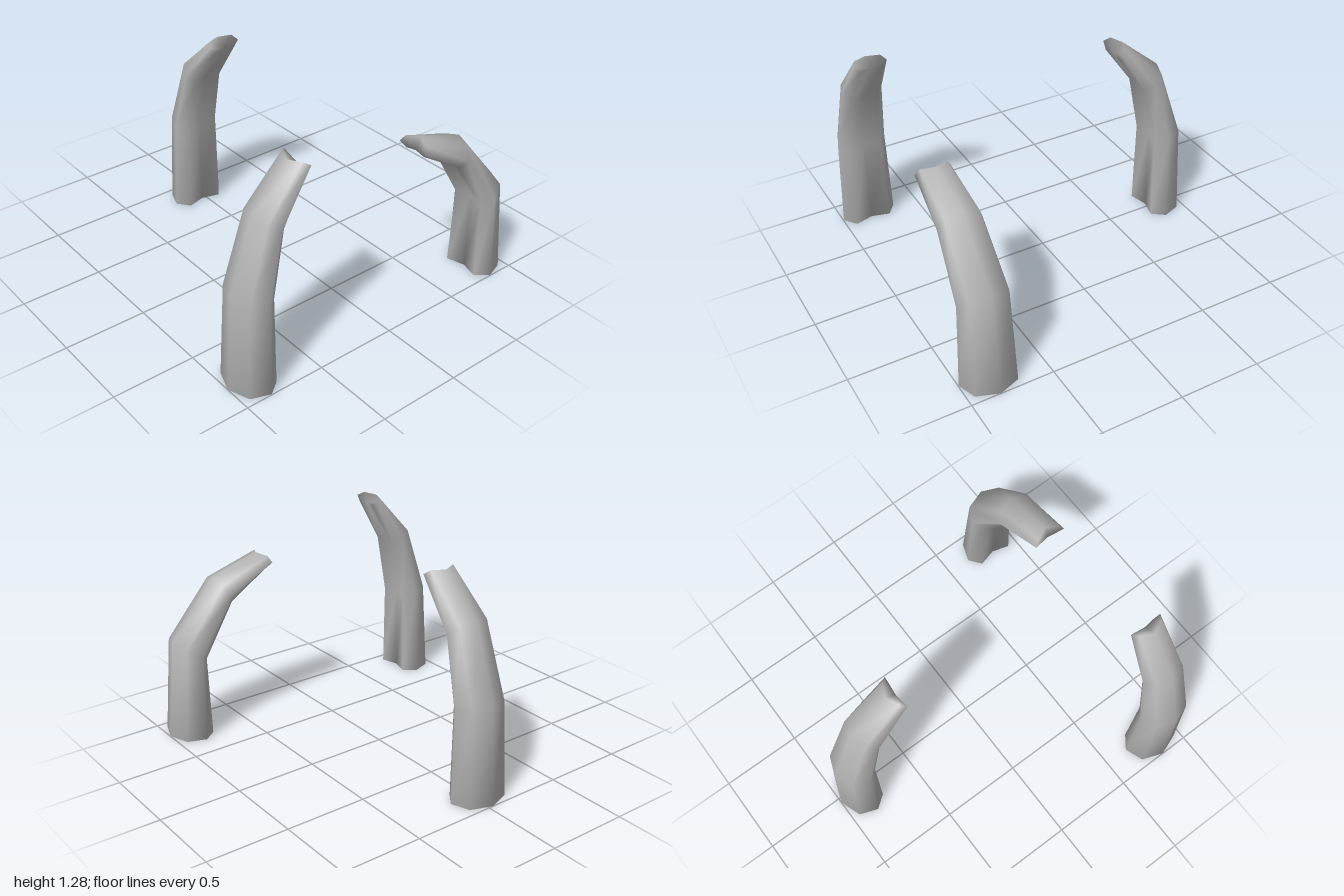
import * as THREE from 'three';

// Cross-section of a claw: [share of the way from outer to inner edge, share of half width]
const SECTION = [[0, 0], [0.2, 0.76], [0.67, 1], [1, 0.65], [0.87, 0], [1, -0.65], [0.67, -1], [0.2, -0.76]];
const N = SECTION.length;
const NOTCH = 4;
const HALF_WIDTHS = [0.172, 0.153, 0.13, 0.104];

// Each ring: outer radius, outer height, inner radius, inner height
const CLAWS = [
  {
    name: 'backClaw', turn: 0, position: [-0.03, 0, 0], bulge: [-0.02, 0.02],
    rings: [[1, 0, 0.76, 0], [0.97, 0.6, 0.76, 0.56], [0.81, 1.05, 0.675, 0.94], [0.555, 1.265, 0.485, 1.2]],
  },
  {
    name: 'rightClaw', turn: Math.PI / 2, position: [0, 0, 0.825], bulge: [-0.02, 0.02],
    rings: [[1, 0, 0.76, 0], [0.97, 0.6, 0.765, 0.55], [0.83, 1.03, 0.69, 0.94], [0.61, 1.27, 0.53, 1.22]],
  },
  {
    name: 'leftClaw', turn: -Math.PI / 2, position: [0, 0, 0.825], bulge: [-0.03, 0.005],
    rings: [[1, 0, 0.76, 0], [0.935, 0.62, 0.765, 0.5], [0.635, 0.97, 0.56, 0.82], [0.325, 1.065, 0.29, 0.982]],
  },
];

// Lofts the notched section through the rings, closing both ends
function clawGeometry(rings, bulge) {
  const positions = [];
  const index = [];
  rings.forEach(([outR, outY, inR, inY], i) => {
    SECTION.forEach(([t, w], j) => {
      let r = outR + (inR - outR) * t;
      let y = outY + (inY - outY) * t;
      // The tip's side corners reach a little further than its middle
      if (i === rings.length - 1 && (j === 1 || j === 2 || j === 6 || j === 7)) {
        r += bulge[0];
        y += bulge[1] * (j === 1 || j === 7 ? 0.8 : 1);
      }
      positions.push(w * HALF_WIDTHS[i], y, -r);
    });
  });
  // Side walls
  for (let i = 0; i < rings.length - 1; i++) {
    for (let j = 0; j < N; j++) {
      const a = i * N + j;
      const b = i * N + (j + 1) % N;
      index.push(a, a + N, b, b, a + N, b + N);
    }
  }
  // Base and tip, fanned from the notch
  const top = (rings.length - 1) * N;
  for (let k = 1; k < N - 1; k++) {
    const p = (NOTCH + k) % N;
    const q = (NOTCH + k + 1) % N;
    index.push(NOTCH, p, q, top + NOTCH, top + q, top + p);
  }
  const geometry = new THREE.BufferGeometry();
  geometry.setAttribute('position', new THREE.Float32BufferAttribute(positions, 3));
  geometry.setIndex(index);
  geometry.computeVertexNormals();
  return geometry;
}

export function createModel() {
  const model = new THREE.Group();
  model.name = 'threeClaws';
  const grey = new THREE.MeshStandardMaterial({ color: 0xb4b4b4 });
  grey.name = 'grey';

  for (const { name, turn, position, bulge, rings } of CLAWS) {
    const claw = new THREE.Mesh(clawGeometry(rings, bulge), grey);
    claw.name = name;
    claw.rotation.y = turn;
    claw.position.set(...position);
    model.add(claw);
  }
  return model;
}
